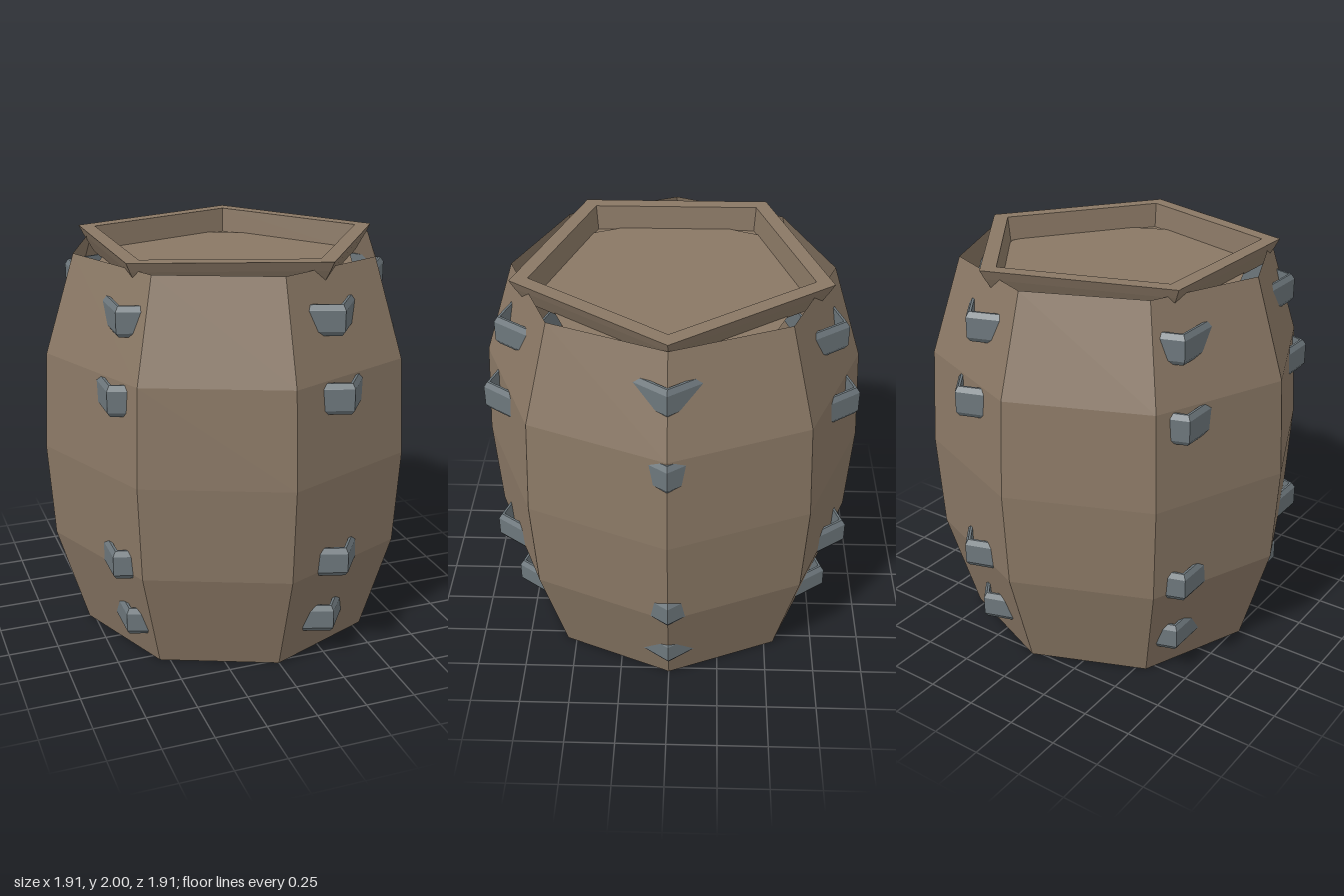
import * as THREE from 'three';

export function createModel() {
  const model = new THREE.Group();
  model.name = 'barrel';
  const wood = new THREE.MeshStandardMaterial({ color: 0x8a7865, flatShading: true, side: THREE.DoubleSide });
  wood.name = 'weathered wood';
  const steel = new THREE.MeshStandardMaterial({ color: 0x6d777c, flatShading: true, side: THREE.DoubleSide });
  steel.name = 'dull steel';

  const add = (name, geometry, material) => {
    const mesh = new THREE.Mesh(geometry, material);
    mesh.name = name;
    model.add(mesh);
    return mesh;
  };
  // Faceted ring with one corner pointing to +x
  const ring = (points, sides) => new THREE.LatheGeometry(
    points.map(([r, y]) => new THREE.Vector2(r, y)), sides, Math.PI / 2);
  const disc = (r, sides, y) => new THREE.CircleGeometry(r, sides).rotateX(-Math.PI / 2).translate(0, y, 0);

  // Open eight-sided staves
  add('staves', ring([[0.775, 0], [0.927, 0.52], [0.955, 1], [0.927, 1.48], [0.775, 1.96]], 8), wood);

  // Five-sided hoops whose corners break through the staves
  const hoops = [[0.865, 0.15, 0.29], [0.953, 0.495, 0.64], [0.955, 1.32, 1.47], [0.875, 1.675, 1.82]];
  hoops.forEach(([r, y0, y1], i) => {
    add('hoop' + (i + 1), ring([
      [r - 0.018, y0], [r, y0 + 0.022], [r, y1 - 0.025], [r - 0.018, y1],
      [r - 0.032, y1], [r - 0.032, y0], [r - 0.018, y0],
    ], 5), steel);
  });

  // Five-sided lid rim, its floor, and the eight-sided head beneath
  add('lidRim', ring([
    [0.71, 1.87], [0.765, 1.955], [0.79, 2], [0.7, 2], [0.685, 1.87], [0.71, 1.87],
  ], 5), wood);
  add('lidFloor', disc(0.69, 5, 1.875), wood);
  add('barrelHead', disc(0.672, 8, 1.882), wood);

  return model;
}
